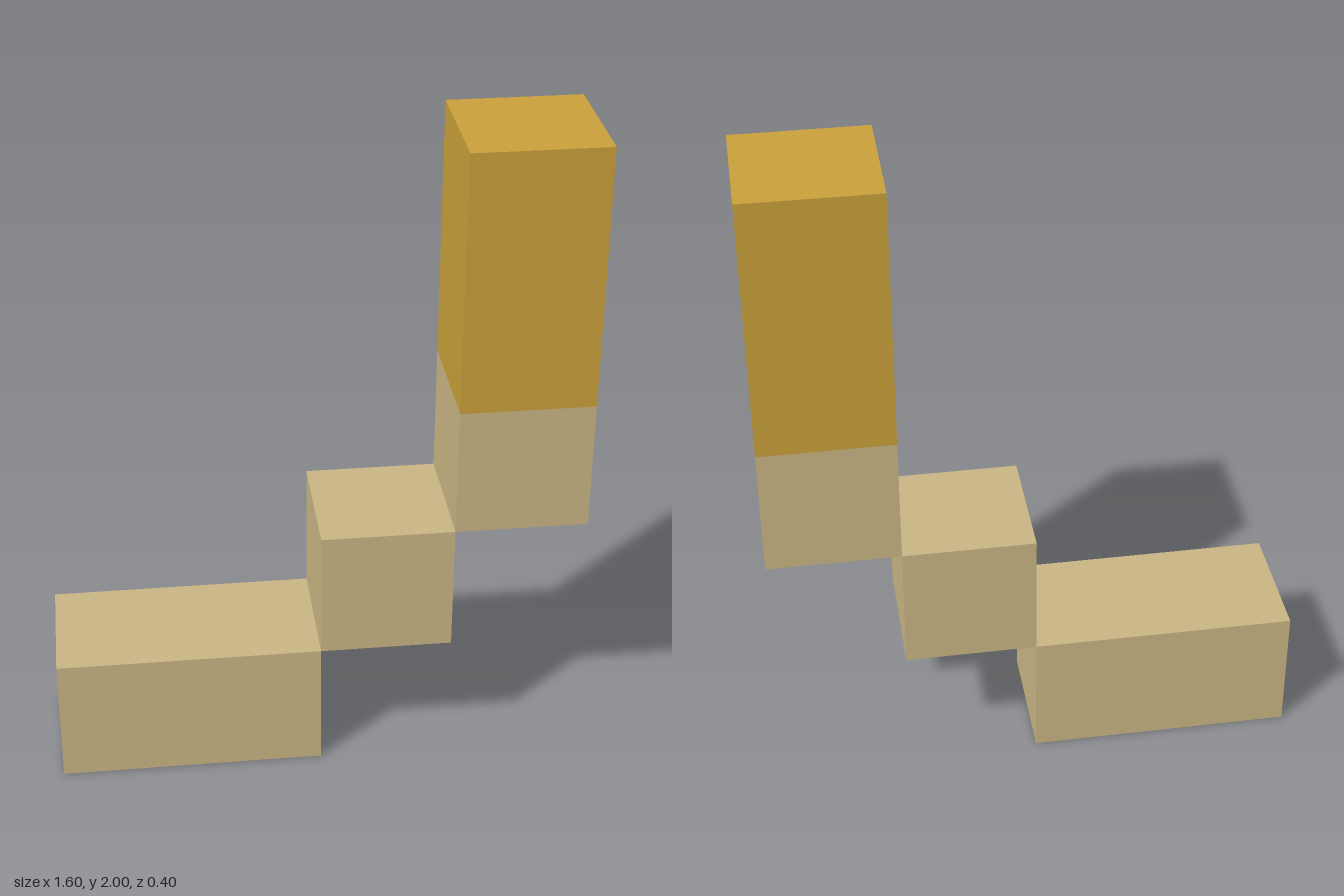
import * as THREE from 'three';

const sand = new THREE.MeshStandardMaterial({ color: 0xc9b584 });
sand.name = 'sand';
const gold = new THREE.MeshStandardMaterial({ color: 0xc9a03a });
gold.name = 'gold';

const UNIT = 0.4; // edge of one cube

// Block spanning w by h units, with its lower -x corner at column, row
function block(name, material, column, row, w, h) {
  const mesh = new THREE.Mesh(new THREE.BoxGeometry(w * UNIT, h * UNIT, UNIT), material);
  mesh.name = name;
  mesh.position.set((column + w / 2) * UNIT, (row + h / 2) * UNIT, 0);
  return mesh;
}

export function createModel() {
  const model = new THREE.Group();
  model.name = 'steppedBlocks';
  model.add(
    block('baseBlock', sand, -2, 0, 2, 1),
    block('middleStep', sand, 0, 1, 1, 1),
    block('upperStep', sand, 1, 2, 1, 1),
    block('goldColumn', gold, 1, 3, 1, 2),
  );
  return model;
}
